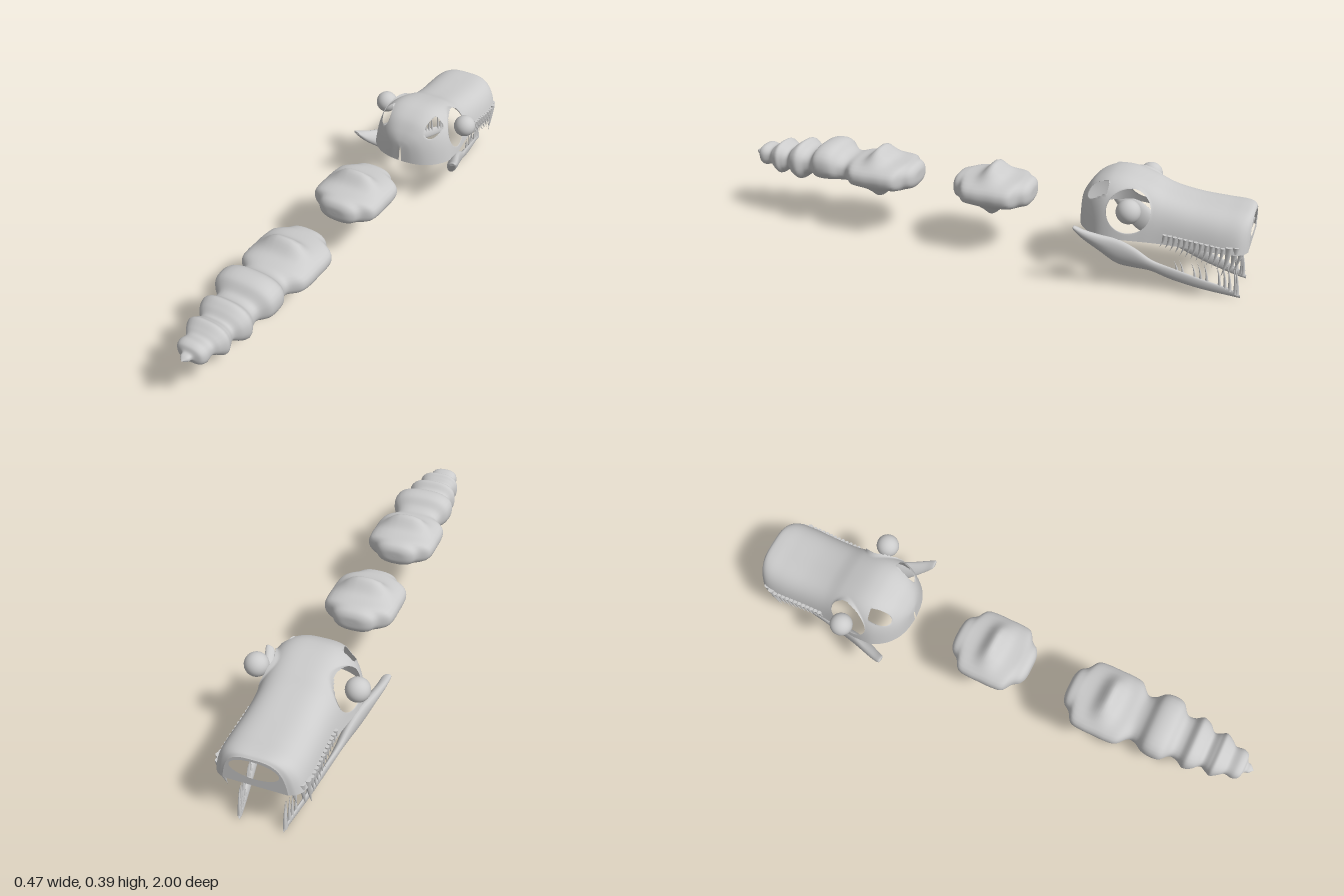
import * as THREE from 'three';

const grey = new THREE.MeshStandardMaterial({ color: 0xcccccc });
const shellGrey = new THREE.MeshStandardMaterial({ color: 0xcccccc, side: THREE.DoubleSide });

// Smoothly resample a table of stations into n + 1 rows
function spline(rows, n) {
  const size = rows[0].length;
  const curve = new THREE.CubicInterpolant(rows.map((_, i) => i), rows.flat(), size, new Float32Array(size));
  return Array.from({ length: n + 1 }, (_, i) => Array.from(curve.evaluate((i / n) * (rows.length - 1))));
}

// Skin rings of points; keep(a, b, c) may drop triangles to open holes
function loft(rings, closed, keep = () => true) {
  const m = rings[0].length, index = [];
  for (let i = 0; i < rings.length - 1; i++) {
    for (let j = 0; j < (closed ? m : m - 1); j++) {
      const k = (j + 1) % m;
      const a = i * m + j, b = i * m + k, c = a + m, d = b + m;
      if (keep(a, b, c)) index.push(a, b, c);
      if (keep(b, d, c)) index.push(b, d, c);
    }
  }
  const g = new THREE.BufferGeometry();
  g.setAttribute('position', new THREE.Float32BufferAttribute(rings.flat(2), 3));
  g.setIndex(index);
  g.computeVertexNormals();
  return g;
}

function mesh(name, geometry, material = grey) {
  const m = new THREE.Mesh(geometry, material);
  m.name = name;
  return m;
}

// Rounded-box outline direction: radius of a unit superellipse at angle t
const superRadius = (t, n) => (Math.abs(Math.cos(t)) ** n + Math.abs(Math.sin(t)) ** n) ** (-1 / n);

// ---- spine ----
// Stations: z, half width, top y, bottom y. ridgeZ places the raised ridge above and below.
function spineGeometry(rows, ridgeZ, steps) {
  const rings = spline(rows, steps).map(([z, w, top, bottom]) => {
    const ring = [], half = Math.max(0, (top - bottom) / 2), mid = (top + bottom) / 2;
    for (let j = 0; j < 32; j++) {
      const t = (j / 32) * Math.PI * 2, r = superRadius(t, 2.6);
      const x = Math.max(0, w) * r * Math.cos(t);
      const ridge = 0.045 * Math.exp(-(((z - ridgeZ) / 0.036) ** 2) - (x / 0.085) ** 4);
      ring.push([x, mid + (half + ridge) * r * Math.sin(t), z]);
    }
    return ring;
  });
  return loft(rings, true);
}

// One vertebra as stations around z = 0: offset, half width, half height
const halfVertebra = [[-0.155, 0, 0], [-0.153, 0.045, 0.025], [-0.14, 0.073, 0.043], [-0.115, 0.092, 0.05],
  [-0.09, 0.128, 0.052], [-0.05, 0.136, 0.054]];
const vertebra = [...halfVertebra, [0, 0.136, 0.055], ...halfVertebra.map(([z, w, h]) => [-z, w, h]).reverse()];
const vertebraAt = (z0) => vertebra.map(([z, w, h]) => [z0 + z, w, 0.25 + h, 0.25 - h]);

const tailEnd = [[0.545, 0.092, 0.298, 0.2], [0.575, 0.095, 0.308, 0.2], [0.605, 0.116, 0.335, 0.2],
  [0.64, 0.122, 0.342, 0.198], [0.675, 0.116, 0.333, 0.2], [0.705, 0.085, 0.303, 0.204],
  [0.735, 0.085, 0.303, 0.197], [0.765, 0.1, 0.325, 0.175], [0.795, 0.09, 0.31, 0.19],
  [0.82, 0.068, 0.29, 0.205], [0.845, 0.076, 0.302, 0.193], [0.865, 0.083, 0.312, 0.183],
  [0.89, 0.07, 0.295, 0.203], [0.91, 0.055, 0.283, 0.212], [0.94, 0.057, 0.29, 0.205],
  [0.96, 0.048, 0.283, 0.215], [0.97, 0.022, 0.265, 0.235], [0.985, 0.016, 0.26, 0.24], [1, 0, 0.25, 0.25]];

// ---- skull ----
// Stations: z, half width, top y
const skullRows = [[-0.388, 0.005, 0.262], [-0.394, 0.055, 0.292], [-0.41, 0.1, 0.325], [-0.44, 0.138, 0.362],
  [-0.48, 0.165, 0.385], [-0.52, 0.175, 0.394], [-0.57, 0.174, 0.391], [-0.64, 0.164, 0.372],
  [-0.71, 0.156, 0.345], [-0.8, 0.155, 0.328], [-0.9, 0.157, 0.322], [-0.96, 0.152, 0.322],
  [-0.988, 0.135, 0.319], [-1, 0.112, 0.31]];
const skullBase = 0.198;

function skullSection([z, w, top], n) {
  return Array.from({ length: n + 1 }, (_, j) => {
    const t = (j / n) * Math.PI, r = superRadius(t, 3.4), h = r * Math.sin(t);
    return [w * r * Math.cos(t) * (1 - 0.16 * h), skullBase + (top - skullBase) * h, z];
  });
}

// Pull a vertex just inside an oval onto its rim; report whether it lies deeper
function openOval(p, axis, c, cy, r, ry) {
  const s = axis === 0 ? Math.sign(p[0]) || 1 : 1;
  const u = (p[axis] * s - c) / r, v = (p[1] - cy) / ry, q = Math.hypot(u, v);
  if (q >= 1) return false;
  if (q < 0.8) return true;
  p[axis] = s * (c + (u / q) * r);
  p[1] = cy + (v / q) * ry;
  return false;
}

function skullGeometry() {
  const rings = spline(skullRows, 120).map((row) => skullSection(row, 100));
  const removed = rings.flat().map((p) => {
    if (Math.abs(p[0]) > 0.09 && openOval(p, 2, -0.588, 0.297, 0.077, 0.074)) return true; // eye socket
    return p[2] > -0.505 && openOval(p, 0, 0.107, 0.347, 0.026, 0.037); // rear opening
  });
  return loft(rings, false, (...corners) => !corners.some((i) => removed[i]));
}

// Snout end with the nasal opening
function snoutGeometry() {
  const outline = skullSection(skullRows[skullRows.length - 1], 40).map(([x, y]) => new THREE.Vector2(x, y));
  const shape = new THREE.Shape(outline);
  shape.holes.push(new THREE.Path().absellipse(0, 0.264, 0.085, 0.036, 0, Math.PI * 2, true));
  return new THREE.ShapeGeometry(shape, 24).translate(0, 0, -1);
}

// ---- jaw and teeth ----
// Stations front to back: z, x, top y, bottom y, half thickness
const jawRows = [[-0.988, 0.078, 0.012, 0, 0.002], [-0.95, 0.084, 0.035, 0.005, 0.005], [-0.85, 0.104, 0.066, 0.023, 0.007],
  [-0.75, 0.124, 0.1, 0.05, 0.009], [-0.68, 0.138, 0.126, 0.077, 0.013], [-0.62, 0.148, 0.168, 0.083, 0.019],
  [-0.56, 0.163, 0.2, 0.096, 0.022], [-0.5, 0.185, 0.217, 0.145, 0.022], [-0.45, 0.207, 0.235, 0.19, 0.018],
  [-0.418, 0.219, 0.249, 0.228, 0.014], [-0.415, 0.22, 0.24, 0.238, 0.002]];
const jaw = spline(jawRows, 50);

function jawGeometry(side) {
  return loft(jaw.map(([z, x, top, bottom, thick]) => Array.from({ length: 16 }, (_, j) => {
    const t = (j / 16) * Math.PI * 2, v = Math.sin(t);
    return [side * (x + 0.012 * v * thick / 0.022) + thick * Math.cos(t), (top + bottom) / 2 + v * (top - bottom) / 2, z];
  })), true);
}

// Curved tooth; dir is +1 upward, -1 downward, the tip sweeps by bend along z
function tooth(name, x, y, z, length, radius, dir, bend) {
  const g = new THREE.ConeGeometry(radius, length, 8, 6).translate(0, length / 2, 0);
  if (dir < 0) g.rotateX(Math.PI);
  const p = g.attributes.position;
  for (let i = 0; i < p.count; i++) p.setZ(i, p.getZ(i) + bend * (p.getY(i) / length) ** 2);
  g.computeVertexNormals();
  const m = mesh(name, g);
  m.position.set(x, y, z);
  return m;
}

export function createModel() {
  const model = new THREE.Group();
  model.name = 'fossilSkullAndSpine';

  model.add(mesh('middleVertebra', spineGeometry(vertebraAt(-0.045), -0.045, 72), grey));
  const tailRows = [...vertebraAt(0.42).filter(([z]) => z < 0.53), ...tailEnd];
  model.add(mesh('tailSpine', spineGeometry(tailRows, 0.425, 150), grey));

  const skull = new THREE.Group();
  skull.name = 'skull';
  skull.add(mesh('cranium', skullGeometry(), shellGrey), mesh('snoutEnd', snoutGeometry(), shellGrey));
  model.add(skull);

  for (const side of [1, -1]) {
    const label = side > 0 ? 'left' : 'right';
    const eye = mesh(label + 'Eye', new THREE.SphereGeometry(0.043, 32, 20));
    eye.position.set(side * 0.182, 0.314, -0.595);
    skull.add(eye);

    // Upper row, growing toward the snout
    for (let i = 0; i < 12; i++) {
      const f = i / 11;
      skull.add(tooth(label + 'UpperTooth', side * (0.153 + 0.003 * f), 0.235 - 0.015 * f, -0.72 - 0.2 * f,
        0.05 + 0.035 * f, 0.008, -1, 0.015));
    }
    // Front fangs
    [[0.152, -0.94, 0.12], [0.142, -0.962, 0.11], [0.12, -0.98, 0.1]].forEach(([x, z, length]) =>
      skull.add(tooth(label + 'Fang', side * x, 0.225, z, length, 0.012, -1, 0.02)));

    // Lower jaw half with its own row
    const lower = new THREE.Group();
    lower.name = label + 'LowerJaw';
    lower.add(mesh(label + 'JawBone', jawGeometry(side)));
    for (let i = 0; i < 10; i++) {
      const row = jaw[Math.round(2 + i * 1.35)], f = 1 - i / 9;
      lower.add(tooth(label + 'LowerTooth', side * row[1], row[2] - 0.01, row[0], 0.045 + 0.075 * f,
        0.005 + 0.003 * f, 1, 0.018));
    }
    model.add(lower);
  }
  return model;
}
